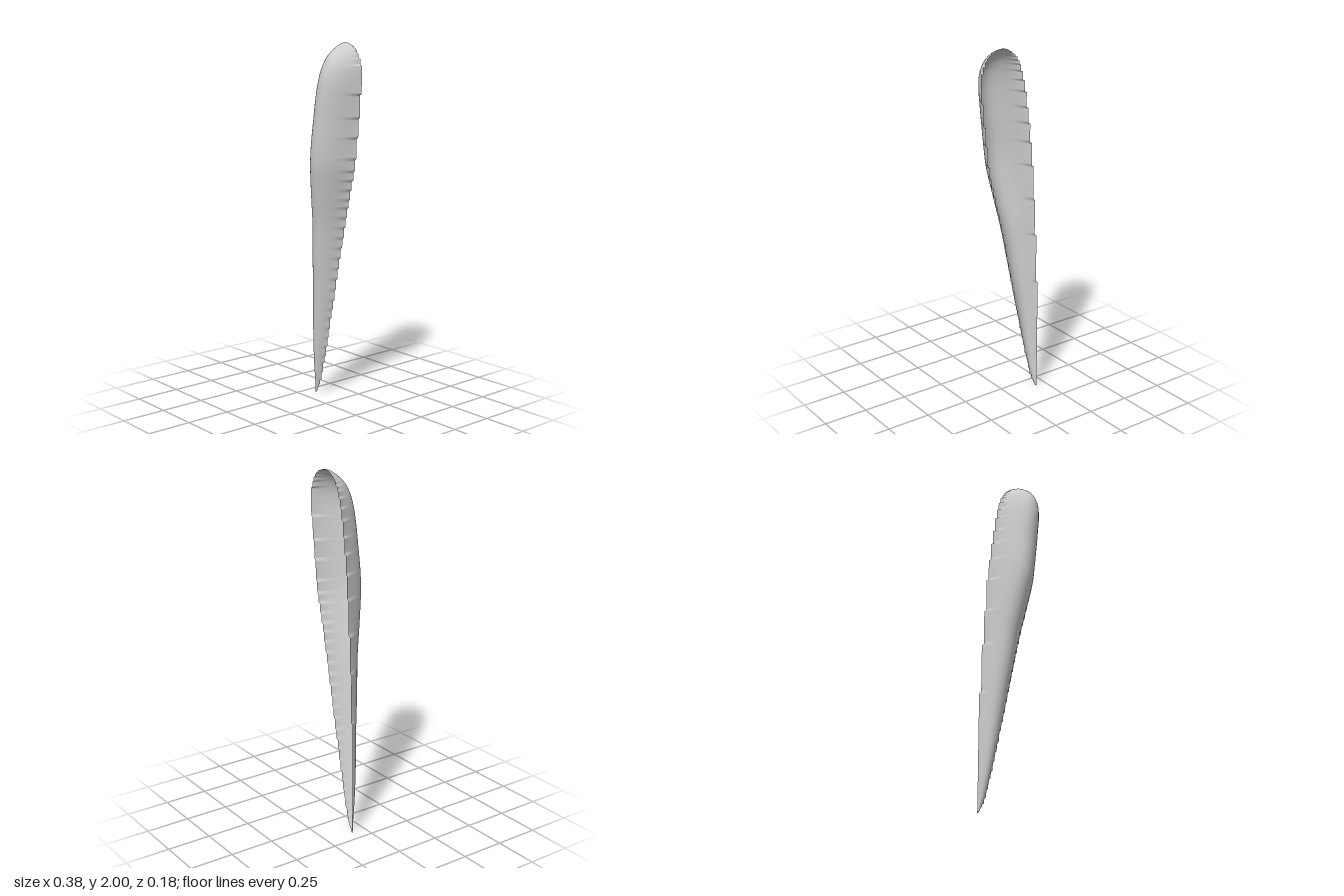
import * as THREE from 'three';

// Stations up the shell: height, left-hand rim x, right-hand rim x, ridge z
const STATIONS = [
  [0, -0.19, -0.185, -0.085], [0.04, -0.19, -0.16, -0.078], [0.2, -0.19, -0.115, -0.052],
  [0.4, -0.188, -0.07, -0.031], [0.6, -0.183, -0.026, -0.015], [0.8, -0.176, 0.015, 0.006],
  [1.0, -0.165, 0.056, 0.026], [1.2, -0.153, 0.103, 0.061], [1.35, -0.143, 0.138, 0.084],
  [1.45, -0.134, 0.151, 0.088], [1.6, -0.116, 0.168, 0.084], [1.7, -0.102, 0.178, 0.081],
  [1.8, -0.085, 0.187, 0.072], [1.87, -0.068, 0.184, 0.054], [1.93, -0.043, 0.164, 0.019],
  [1.97, -0.01, 0.135, -0.026], [1.99, 0.02, 0.1, -0.058], [2, 0.05, 0.065, -0.085],
];
const RIM_Z = -0.0875; // plane of the open back
const STEP = 0.0125;   // size of the notches along the rim
const ROWS = 240, COLS = 32;

const notch = (x) => Math.round(x / STEP) * STEP;

// Open, half-round shell lofted from arched cross-sections
function shellGeometry() {
  const stations = new THREE.CubicInterpolant(
    STATIONS.map((s) => s[0]), STATIONS.flatMap((s) => s.slice(1)), 3);
  const positions = [], index = [];
  for (let r = 0; r <= ROWS; r++) {
    // rows crowd together towards the rounded top
    const t = r / ROWS;
    const y = 2 * (1 - Math.pow(1 - t, 1.4));
    const [left, right, ridge] = stations.evaluate(y);
    const mid = (left + right) / 2, half = (right - left) / 2;
    for (let c = 0; c <= COLS; c++) {
      const u = Math.sin((c / COLS - 0.5) * Math.PI);
      const a = Math.abs(u);
      // the stepped rim fades into the smooth ridge
      const rim = u < 0 ? left : right;
      const x = mid + u * half + (notch(rim) - rim) * Math.pow(a, 8);
      const z = RIM_Z + (ridge - RIM_Z) * (1 - Math.pow(a, 2.15));
      positions.push(THREE.MathUtils.clamp(x, -0.19, 0.19), y, z);
      if (r < ROWS && c < COLS) {
        const i = r * (COLS + 1) + c, j = i + COLS + 1;
        index.push(i, i + 1, j, i + 1, j + 1, j);
      }
    }
  }
  const geometry = new THREE.BufferGeometry();
  geometry.setAttribute('position', new THREE.Float32BufferAttribute(positions, 3));
  geometry.setIndex(index);
  geometry.computeVertexNormals();
  return geometry;
}

export function createModel() {
  const group = new THREE.Group();
  const shell = new THREE.Mesh(
    shellGeometry(),
    new THREE.MeshStandardMaterial({ color: 0xcccccc, side: THREE.DoubleSide }));
  shell.name = 'taperedShell';
  group.add(shell);
  return group;
}
